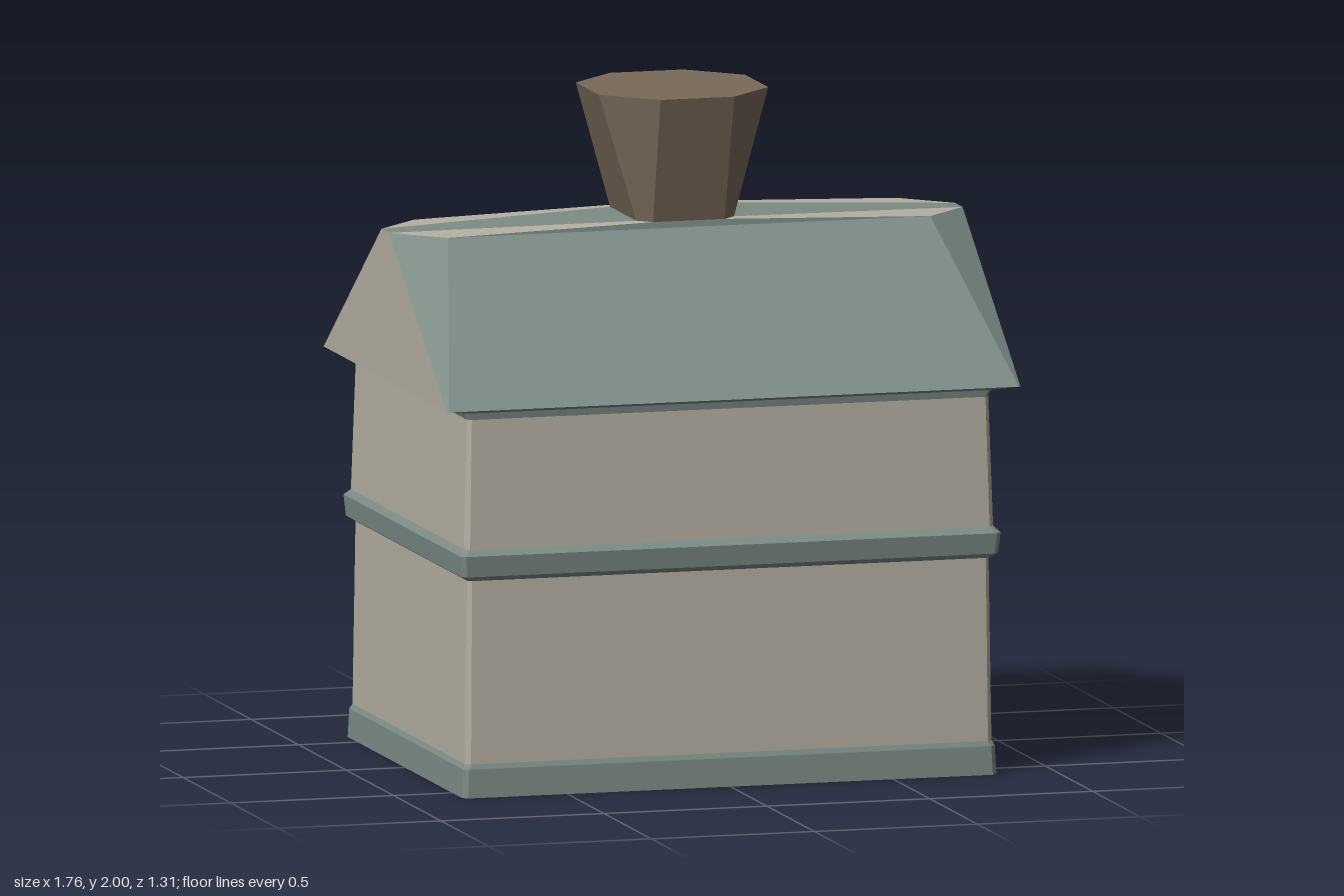
import * as THREE from 'three';

const WALL = 0xb5afa3, TRIM = 0x7c8c85, WOOD = 0x7a6a5a;

// Bevelled rectangle [y, half x, half z, bevel]; side 0 of the loop faces +x, then corner, +z, corner, ...
function ring([y, hx, hz, b, bz = b]) {
  const x = hx - b, z = hz - bz;
  return [[hx, -z], [hx, z], [x, hz], [-x, hz], [-hx, z], [-hx, -z], [-x, -hz], [x, -hz]]
    .map(([px, pz]) => new THREE.Vector3(px, y, pz));
}

// Skin between successive rings, keeping only the sides that pass the filter
function skin(name, color, rows, keep = () => true, cap = false) {
  const rings = rows.map(ring), pos = [];
  const tri = (...pts) => pts.forEach(p => pos.push(p.x, p.y, p.z));
  for (let r = 0; r + 1 < rings.length; r++) {
    for (let i = 0; i < 8; i++) {
      if (!keep(i)) continue;
      const j = (i + 1) % 8, lo = rings[r], hi = rings[r + 1];
      tri(lo[i], hi[i], hi[j]);
      tri(lo[i], hi[j], lo[j]);
    }
  }
  if (cap) {
    const top = rings[rings.length - 1];
    for (let i = 1; i < 7; i++) tri(top[0], top[i + 1], top[i]);
  }
  const geo = new THREE.BufferGeometry();
  geo.setAttribute('position', new THREE.Float32BufferAttribute(pos, 3));
  geo.computeVertexNormals();
  const mesh = new THREE.Mesh(geo, new THREE.MeshStandardMaterial({
    color, flatShading: true, side: THREE.DoubleSide,
  }));
  mesh.name = name;
  return mesh;
}

export function createModel() {
  const house = new THREE.Group();
  house.name = 'house';

  // Cross-sections shared by neighbouring parts
  const plinthTop = [0.1, 0.808, 0.607, 0.015];
  const beltLow = [0.645, 0.8, 0.6, 0.012];
  const beltHigh = [0.74, 0.812, 0.61, 0.015];
  const wallTop = [1.125, 0.8, 0.597, 0.012];
  const eave = [1.16, 0.88, 0.655, 0.006];
  const ridge = [1.603, 0.88, 0.18, 0.14];
  const chimneyBase = [1.622, 0.15, 0.178, 0.04];
  const isEnd = i => i % 4 === 0;
  const isCorner = i => i % 2 === 1;

  house.add(
    // Walls and trim, open at the bottom
    skin('plinth', TRIM, [[0, 0.82, 0.617, 0.015], [0.085, 0.816, 0.614, 0.015], plinthTop]),
    skin('lowerWall', WALL, [plinthTop, beltLow]),
    skin('beltTrim', TRIM, [beltLow, [0.66, 0.824, 0.622, 0.015], [0.722, 0.829, 0.63, 0.015], beltHigh]),
    skin('upperWall', WALL, [beltHigh, wallTop]),
    skin('eaveSoffit', TRIM, [wallTop, [1.145, 0.808, 0.6, 0.012], eave]),
    // Roof slopes with clipped corners, and gable ends
    skin('roofSlopes', TRIM, [eave, ridge], i => !isEnd(i)),
    skin('gableEnds', WALL, [eave, ridge], isEnd),
    // Shallow ridge surface rising to the chimney
    skin('ridgeTrim', TRIM, [ridge, chimneyBase], i => !isCorner(i)),
    skin('ridgePanels', WALL, [ridge, chimneyBase], isCorner),
    // Flared chimney
    skin('chimney', WOOD, [chimneyBase, [2, 0.26, 0.268, 0.147]], () => true, true),
  );
  return house;
}
